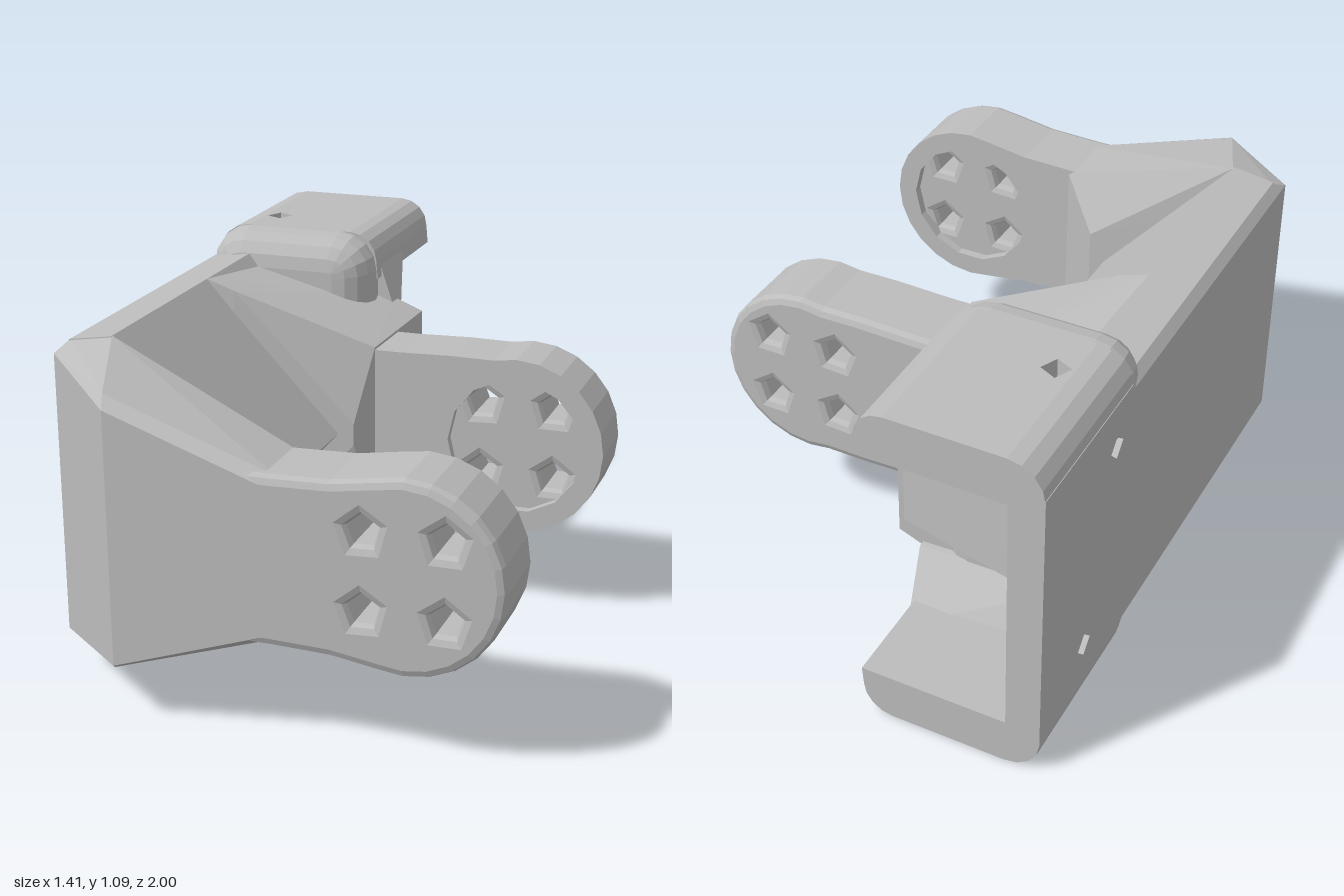
import * as THREE from 'three';
import { ConvexGeometry } from 'three/addons/geometries/ConvexGeometry.js';

const MID = 0.545; // height of the mirror plane
const BACK = -0.705; // x of the flat back
const flipY = (y) => 2 * MID - y;

export function createModel() {
  const model = new THREE.Group();
  model.name = 'bracket';
  const grey = new THREE.MeshStandardMaterial({ color: 0xbcbcbc, flatShading: true });
  grey.name = 'plain grey';

  const add = (name, geometry) => {
    const mesh = new THREE.Mesh(geometry, grey);
    mesh.name = name;
    model.add(mesh);
  };
  const shapeOf = (pts) => new THREE.Shape(pts.map(([x, y]) => new THREE.Vector2(x, y)));
  const arc = (cx, cy, r, from, to, n) =>
    Array.from({ length: n + 1 }, (_, i) => {
      const a = THREE.MathUtils.degToRad(from + ((to - from) * i) / n);
      return [cx + r * Math.cos(a), cy + r * Math.sin(a)];
    });
  const hole = (cx, cy, r, n, turn = 0) =>
    new THREE.Path(arc(cx, cy, r, turn, turn + 360, n).slice(0, n).map(([x, y]) => new THREE.Vector2(x, y)));
  // extrude along z between two depths, optionally with rounded rims
  const extrudeZ = (shape, z0, z1, bevel = 0, segments = 2) =>
    new THREE.ExtrudeGeometry(shape, {
      depth: z1 - z0 - 2 * bevel, bevelEnabled: bevel > 0, bevelSize: bevel,
      bevelThickness: bevel, bevelOffset: -bevel, bevelSegments: segments,
    }).translate(0, 0, z0 + bevel);
  // convex block from corner points
  const block = (pts) => new ConvexGeometry(pts.map((p) => new THREE.Vector3(...p)));
  // convex block whose corners are mirrored about MID
  const hull = (pts) => block(pts.flatMap(([x, y, z]) => [[x, y, z], [x, flipY(y), z]]));

  // Spine with a ridge along its inner side
  const upper = [[BACK, 0.97], [-0.68, 1.0], [-0.55, 1.02]];
  const lower = upper.map(([x, y]) => [x, flipY(y)]).reverse();
  add('spine', extrudeZ(shapeOf([...upper, [-0.13, MID], ...lower]), -0.45, 0.67));

  // Tapered roots that carry the two arms
  add('frontArmRoot', hull([
    [BACK, 0.97, 0.66], [-0.68, 1.0, 0.66], [-0.55, 1.02, 0.66], [-0.08, 0.64, 0.655],
    [0.06, 0.78, 0.77], [0.06, 0.78, 0.96], [0.04, 0.76, 1.0],
    [-0.42, 0.92, 1.0], [-0.44, 0.95, 0.95], [BACK, 0.97, 0.72],
  ]));
  add('rearArmRoot', hull([
    [-0.66, 1.0, 0], [-0.55, 1.02, 0], [-0.46, 0.99, 0], [-0.08, 0.58, -0.04],
    [-0.03, 0.82, -0.1], [-0.02, 0.82, -0.55], [-0.12, 0.86, -0.55], [-0.66, 1.0, -0.55],
  ]));

  // Round-ended arms: outer layer with four holes, inner layer with a round recess
  const cx = 0.425;
  const armShape = (waist) => shapeOf([
    [-0.05, MID - waist], [0.05, MID - waist], [0.22, MID - waist - 0.005],
    ...arc(cx, MID, 0.28, -105, 105, 14),
    [0.22, MID + waist + 0.005], [0.05, MID + waist], [-0.05, MID + waist],
  ]);
  const addArm = (name, waist, [o0, o1], [i0, i1]) => {
    const outer = armShape(waist);
    for (const x of [0.31, 0.54])
      for (const y of [0.44, 0.665]) outer.holes.push(hole(x, y, 0.048, 5, x * 300));
    add(name, extrudeZ(outer, o0, o1, 0.025));
    const inner = armShape(waist);
    inner.holes.push(hole(cx, MID, 0.215, 14));
    add(name + 'InnerRim', extrudeZ(inner, i0, i1));
  };
  addArm('frontArm', 0.245, [0.795, 1.0], [0.765, 0.84]);
  addArm('rearArm', 0.267, [-0.34, -0.13], [-0.18, -0.1]);

  // Rounded collar that closes the rear housing
  const collar = shapeOf([
    ...arc(BACK + 0.12, 0.97, 0.12, 180, 90, 4), ...arc(-0.27, 0.97, 0.12, 90, 0, 4),
    ...arc(-0.27, 0.12, 0.12, 0, -90, 4), ...arc(BACK + 0.12, 0.12, 0.12, -90, -180, 4),
  ]);
  add('housingCollar', extrudeZ(collar, -0.57, -0.335, 0.11, 4));

  // Back plate of the housing, with two screw holes (drawn with -z to the right)
  const plate = shapeOf([[0.46, 0.1], [1, 0.1], [1, 0.99], [0.46, 0.99]]);
  plate.holes.push(hole(0.55, 0.84, 0.04, 4), hole(0.72, 0.25, 0.04, 4));
  add('housingPlate', new THREE.ExtrudeGeometry(plate, { depth: 0.105, bevelEnabled: false })
    .rotateY(Math.PI / 2).translate(BACK, 0, 0));

  // Upper and lower flanges of the housing
  for (const [side, fy] of [['upper', (y) => y], ['lower', flipY]]) {
    const mapped = (pts) => shapeOf(pts.map(([x, y]) => [x, fy(y)]));
    const corner = [...arc(BACK + 0.11, 0.98, 0.11, 180, 90, 4), [BACK + 0.11, 0.94], [-0.65, 0.94]];
    add(side + 'FlangeCorner', extrudeZ(mapped(corner), -1, -0.46));

    const slab = shapeOf([[BACK + 0.11, 0.46], [-0.24, 0.46], [-0.24, 1], [BACK + 0.11, 1]]);
    slab.holes.push(hole(-0.545, 0.61, 0.042, 4, 20));
    add(side + 'Flange', new THREE.ExtrudeGeometry(slab, { depth: 0.15, bevelEnabled: false })
      .rotateX(-Math.PI / 2).translate(0, side === 'upper' ? 0.94 : 0, 0));

    const lip = [[-0.24, 0.94], [-0.24, 1.09], ...arc(-0.24, 1.0, 0.09, 90, 0, 4), [-0.145, 0.94]];
    add(side + 'FlangeLip', extrudeZ(mapped(lip), -1, -0.46));

    // Gusset between the flange and the cavity wall
    add(side + 'Gusset', block([
      [-0.6, 0.82, -0.5], [-0.6, 0.82, -0.56], [-0.6, 0.96, -0.5], [-0.6, 0.96, -0.68],
      [-0.1, 0.83, -0.5], [-0.1, 0.84, -0.57], [-0.15, 0.98, -0.5], [-0.15, 0.98, -0.74],
    ].map(([x, y, z]) => [x, fy(y), z])));
  }

  // Sloping floor of the cavity
  add('cavitySlope', hull([
    [-0.62, 0.77, -0.5], [-0.04, 0.77, -0.5], [-0.04, 0.77, -0.555], [-0.62, 0.72, -0.73],
  ]));

  return model;
}
